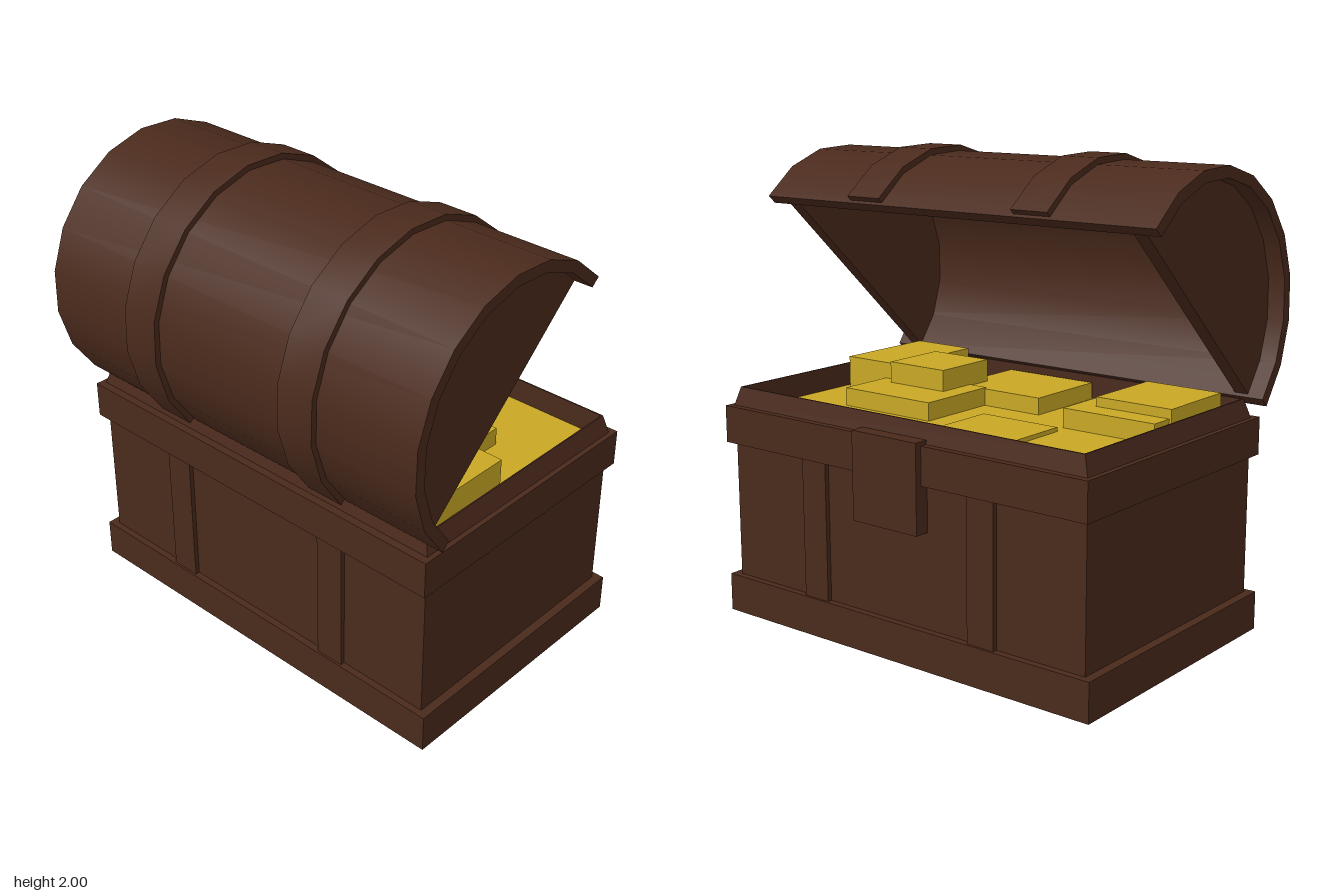
import * as THREE from 'three';
import { toCreasedNormals } from 'three/addons/utils/BufferGeometryUtils.js';

export function createModel() {
  const chest = new THREE.Group();
  chest.name = 'treasureChest';
  const wood = new THREE.MeshStandardMaterial({ color: 0x4a2a1c });
  const gold = new THREE.MeshStandardMaterial({ color: 0xc9a825 });

  const add = (name, geometry, material, parent) => {
    const mesh = new THREE.Mesh(geometry, material);
    mesh.name = name;
    parent.add(mesh);
    return mesh;
  };
  // Box given by its limits on each axis
  const block = (name, [x0, x1], [y0, y1], [z0, z1], material, parent) => {
    const mesh = add(name, new THREE.BoxGeometry(x1 - x0, y1 - y0, z1 - z0), material, parent);
    mesh.position.set((x0 + x1) / 2, (y0 + y1) / 2, (z0 + z1) / 2);
    return mesh;
  };

  // Box of the chest
  const base = new THREE.Group();
  base.name = 'base';
  chest.add(base);
  block('plinth', [-0.55, 0.667], [0, 0.165], [-0.953, 0.953], wood, base);
  block('body', [-0.52, 0.637], [0.16, 0.82], [-0.915, 0.915], wood, base);
  for (const side of [-1, 1]) {
    const z = side * 0.437;
    block('bodyStrap', [-0.54, 0.657], [0.16, 0.78], [z - 0.065, z + 0.065], wood, base);
  }
  block('lockPlate', [0.63, 0.702], [0.565, 0.937], [-0.16, 0.175], wood, base);

  // Rim with a sloping lip: rectangular loops [x0, x1, half depth, y] joined in a closed ring
  const loops = [
    [-0.555, 0.672, 0.94, 0.76], [-0.555, 0.672, 0.94, 0.92],
    [-0.52, 0.642, 0.918, 0.92], [-0.5, 0.624, 0.893, 1.0],
    [-0.49, 0.617, 0.887, 1.0], [-0.49, 0.617, 0.887, 0.76],
  ];
  const corner = ([x0, x1, d, y], i) =>
    [[x0, y, d], [x1, y, d], [x1, y, -d], [x0, y, -d]][i % 4];
  const points = [];
  loops.forEach((lower, k) => {
    const upper = loops[(k + 1) % loops.length];
    for (let i = 0; i < 4; i++) {
      const a = corner(lower, i), b = corner(lower, i + 1);
      const c = corner(upper, i + 1), d = corner(upper, i);
      points.push(...a, ...b, ...c, ...a, ...c, ...d);
    }
  });
  const rim = new THREE.BufferGeometry();
  rim.setAttribute('position', new THREE.Float32BufferAttribute(points, 3));
  rim.computeVertexNormals();
  add('rim', rim, wood, base);

  // Gold filling and loose bars
  const treasure = new THREE.Group();
  treasure.name = 'treasure';
  chest.add(treasure);
  block('goldFill', [-0.492, 0.619], [0.8, 0.897], [-0.889, 0.889], gold, treasure);
  const bars = [
    [[-0.46, -0.08], [0.96, 1.02], [-0.81, -0.45]],
    [[-0.39, 0.025], [0.88, 0.98], [-0.8, -0.36]],
    [[0.09, 0.475], [0.88, 0.915], [-0.38, 0]],
    [[-0.455, 0.025], [0.88, 1.045], [0.53, 0.83]],
    [[-0.22, 0.08], [0.96, 1.067], [0.23, 0.53]],
    [[-0.48, -0.09], [0.88, 0.97], [-0.15, 0.3]],
    [[-0.1, 0.28], [0.88, 0.975], [0.14, 0.61]],
  ];
  for (const [x, y, z] of bars) block('goldBar', x, y, z, gold, treasure);

  // Open barrel lid, its axis along z
  const lid = new THREE.Group();
  lid.name = 'lid';
  lid.position.set(-0.1, 1.39, 0);
  chest.add(lid);
  const arc = (radius, from, to, steps = 10) =>
    Array.from({ length: steps + 1 }, (_, i) => {
      const a = THREE.MathUtils.degToRad(from + (to - from) * i / steps);
      return new THREE.Vector2(radius * Math.cos(a), radius * Math.sin(a));
    });
  const extrude = (outline, z0, z1) => {
    const geometry = new THREE.ExtrudeGeometry(new THREE.Shape(outline),
      { depth: z1 - z0, bevelEnabled: false });
    geometry.translate(0, 0, z0);
    return toCreasedNormals(geometry, 0.5);
  };
  const hoop = (inner, outer, from, to, z0, z1) =>
    extrude([...arc(outer, from, to), ...arc(inner, from, to).reverse()], z0, z1);

  add('lidShell', hoop(0.54, 0.588, 41.5, 224.5, -0.988, 0.988), wood, lid);
  for (const side of [-1, 1]) {
    const strapZ = side * 0.425, wallZ = side * 0.885;
    add('lidStrap', hoop(0.57, 0.613, 43, 223, strapZ - 0.087, strapZ + 0.087), wood, lid);
    add('lidEndWall', extrude(arc(0.545, 43, 223), wallZ - 0.03, wallZ + 0.03), wood, lid);
  }
  return chest;
}
